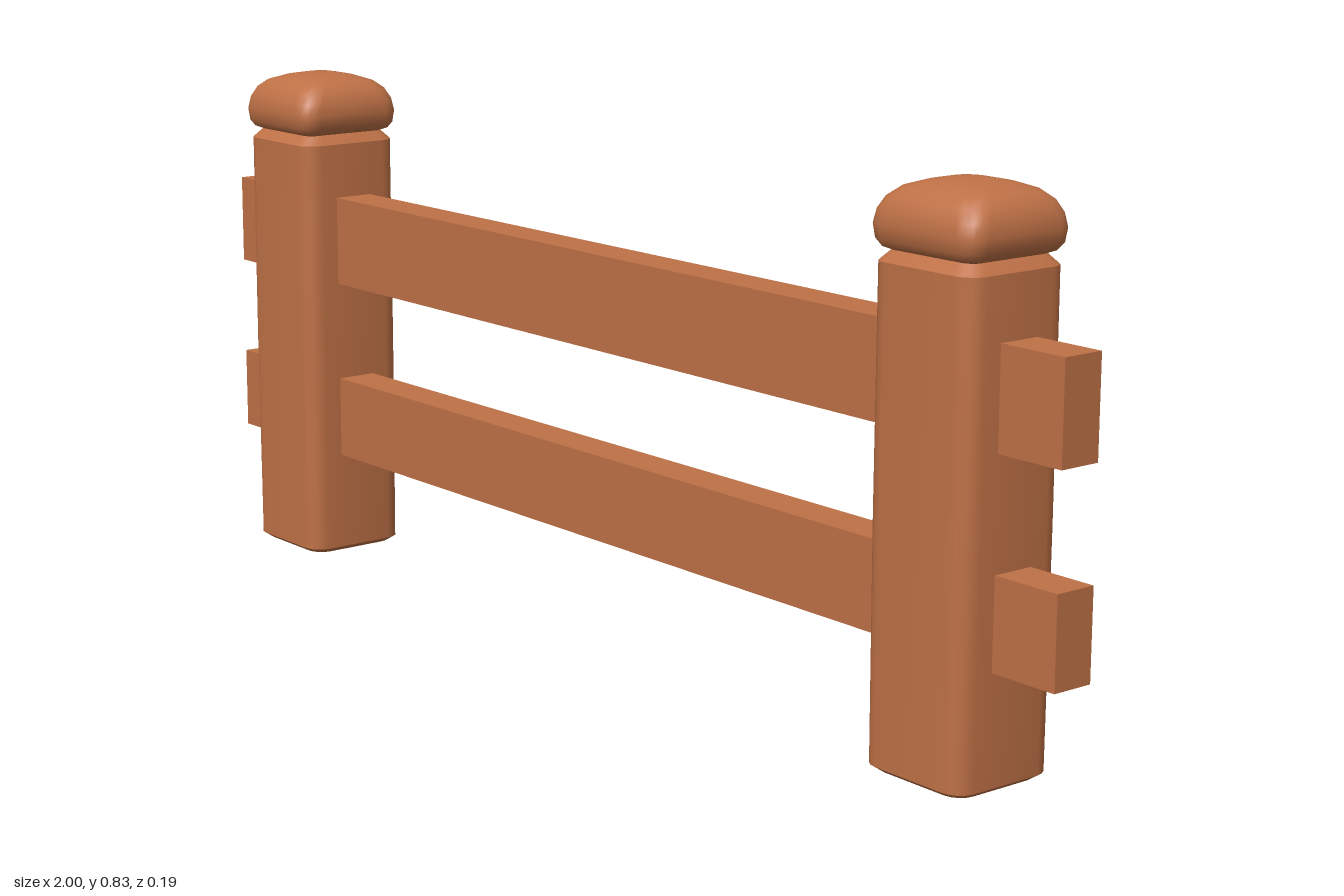
import * as THREE from 'three';
import { toCreasedNormals } from 'three/addons/utils/BufferGeometryUtils.js';

const CORNER_STEPS = 4;

// Ring of a rounded rectangle at height y
function ring(y, hx, hz, r) {
  const pts = [];
  for (let q = 0; q < 4; q++) {
    const sx = q === 0 || q === 3 ? 1 : -1;
    const sz = q < 2 ? 1 : -1;
    for (let i = 0; i <= CORNER_STEPS; i++) {
      const a = (q + i / CORNER_STEPS) * Math.PI / 2;
      pts.push(sx * (hx - r) + r * Math.cos(a), y, sz * (hz - r) + r * Math.sin(a));
    }
  }
  return pts;
}

// Loft through sections [y, halfX, halfZ, cornerRadius], bottom to top
function loft(sections, crease) {
  const n = 4 * (CORNER_STEPS + 1);
  const first = sections[0], last = sections[sections.length - 1];
  const all = [[first[0], 0, 0, 0], ...sections, [last[0], 0, 0, 0]];
  const index = [];
  for (let k = 0; k < all.length - 1; k++) {
    for (let j = 0; j < n; j++) {
      const a = k * n + j, c = k * n + (j + 1) % n;
      if (k > 0) index.push(a, a + n, c);
      if (k < all.length - 2) index.push(c, a + n, c + n);
    }
  }
  const geo = new THREE.BufferGeometry();
  geo.setAttribute('position', new THREE.Float32BufferAttribute(all.flatMap(s => ring(...s)), 3));
  geo.setIndex(index);
  return toCreasedNormals(geo, crease);
}

export function createModel() {
  const fence = new THREE.Group();
  fence.name = 'fence';
  const wood = new THREE.MeshStandardMaterial({ color: 0xbf7146 });
  wood.name = 'wood';

  const add = (parent, geo, name) => {
    const mesh = new THREE.Mesh(geo, wood);
    mesh.name = name;
    parent.add(mesh);
    return mesh;
  };

  // Post shaft with softened corners and a bevelled top
  const shaft = loft([
    [0, 0.086, 0.08, 0.028],
    [0.008, 0.096, 0.091, 0.03],
    [0.36, 0.097, 0.092, 0.03],
    [0.715, 0.096, 0.092, 0.03],
    [0.724, 0.088, 0.084, 0.028],
    [0.735, 0.078, 0.074, 0.025],
  ], 0.65);

  // Pillow-shaped cap
  const cap = loft([
    [0.73, 0.08, 0.076, 0.02],
    [0.735, 0.092, 0.088, 0.025],
    [0.745, 0.1, 0.094, 0.028],
    [0.765, 0.103, 0.097, 0.03],
    [0.785, 0.1, 0.094, 0.032],
    [0.802, 0.092, 0.086, 0.033],
    [0.815, 0.078, 0.072, 0.033],
    [0.824, 0.052, 0.048, 0.028],
    [0.829, 0.022, 0.02, 0.014],
  ], 0.8);

  for (const side of [-1, 1]) {
    const post = new THREE.Group();
    post.name = side > 0 ? 'leftPost' : 'rightPost';
    post.position.x = side * 0.789;
    add(post, shaft, 'shaft');
    add(post, cap, 'cap');
    fence.add(post);
  }

  // Rails running through both posts
  for (const [name, y0, y1] of [['upperRail', 0.475, 0.624], ['lowerRail', 0.173, 0.309]]) {
    const rail = add(fence, new THREE.BoxGeometry(2, y1 - y0, 0.068), name);
    rail.position.set(0, (y0 + y1) / 2, 0);
  }
  return fence;
}
